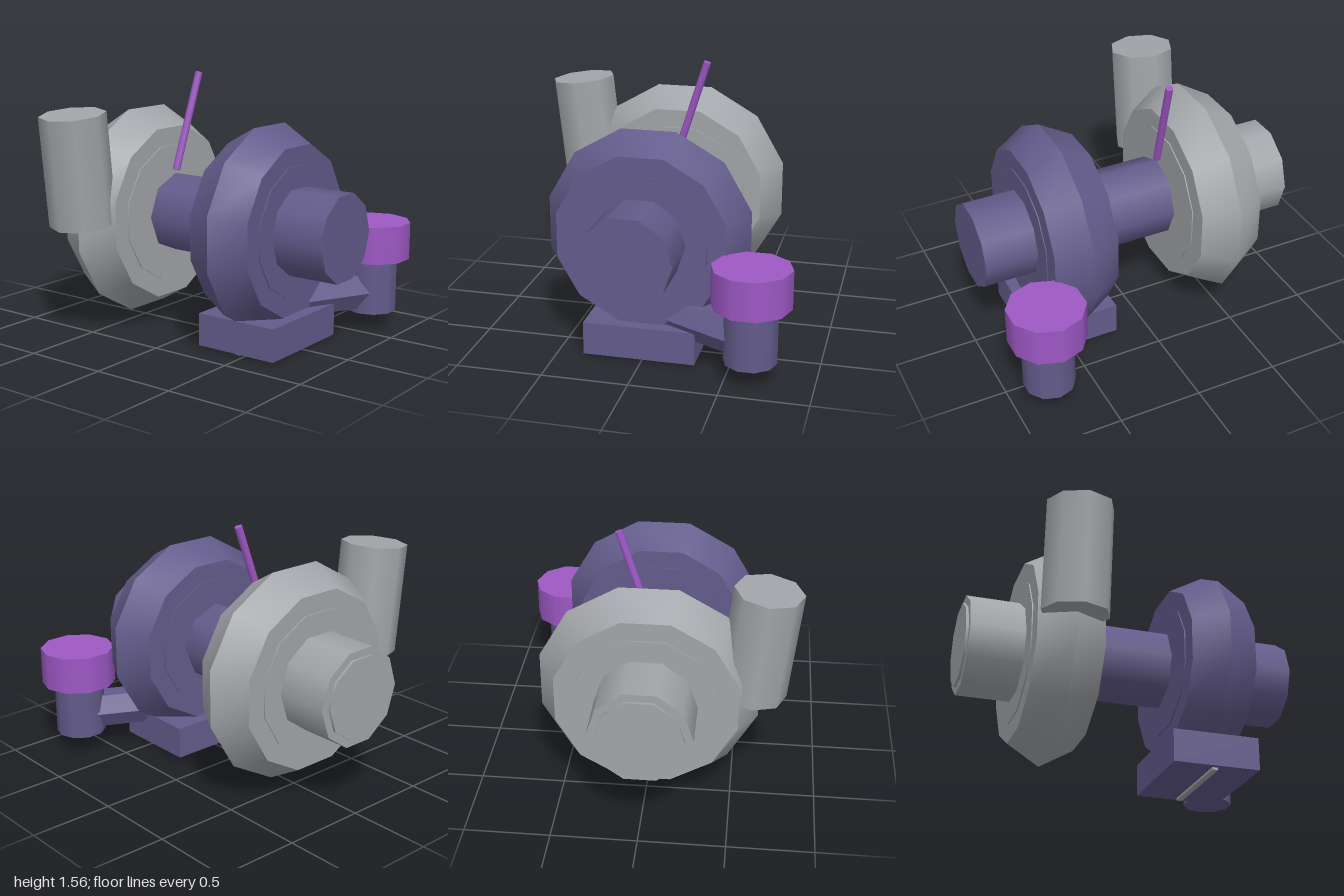
import * as THREE from 'three';
import { toCreasedNormals } from 'three/addons/utils/BufferGeometryUtils.js';

const CY = 0.705, CZ = 0.015; // shared shaft axis

function material(name, color) {
  const m = new THREE.MeshStandardMaterial({ color });
  m.name = name;
  return m;
}

export function createModel() {
  const group = new THREE.Group();
  const slate = material('slate purple', 0x635b8b);
  const grey = material('metal grey', 0xa2a5a9);
  const violet = material('bright violet', 0x9d58c4);

  function add(name, geometry, mat, x, y, z) {
    const mesh = new THREE.Mesh(geometry, mat);
    mesh.name = name;
    mesh.position.set(x, y, z);
    group.add(mesh);
    return mesh;
  }

  // Cylinder lying along the shaft between two x positions
  function shaftCylinder(name, mat, x0, x1, r, sides) {
    const g = new THREE.CylinderGeometry(r, r, x1 - x0, sides).rotateZ(-Math.PI / 2);
    return add(name, g, mat, (x0 + x1) / 2, CY, CZ);
  }

  // Twelve-sided housing with a ridged rim and a thin raised disc on both sides
  function housing(name, mat, x, peak, rim, disc) {
    const k = 1 / Math.cos(Math.PI / 12); // flat radius to corner radius
    const half = [[0, 0.203], [disc, 0.203], [disc, 0.196], [rim, 0.196]];
    const profile = [
      ...half.map(([r, h]) => new THREE.Vector2(r * k, -h)),
      new THREE.Vector2(peak * k, 0),
      ...half.slice().reverse().map(([r, h]) => new THREE.Vector2(r * k, h)),
    ];
    const g = new THREE.LatheGeometry(profile, 12).rotateY(Math.PI / 12).rotateZ(-Math.PI / 2);
    return add(name, toCreasedNormals(g, Math.PI / 4), mat, x, CY, CZ);
  }

  // Cylinder between two points
  function rod(name, mat, a, b, r, sides) {
    const p = new THREE.Vector3(...a), q = new THREE.Vector3(...b);
    const dir = q.clone().sub(p);
    const mesh = add(name, new THREE.CylinderGeometry(r, r, dir.length(), sides), mat,
      ...p.clone().add(q).multiplyScalar(0.5).toArray());
    mesh.quaternion.setFromUnitVectors(new THREE.Vector3(0, 1, 0), dir.normalize());
    return mesh;
  }

  // Exhaust side
  housing('turbineHousing', grey, -0.462, 0.63, 0.52, 0.41);
  shaftCylinder('turbineOutlet', grey, -0.985, -0.6, 0.293, 10);
  shaftCylinder('turbineOutletLip', grey, -1, -0.95, 0.246, 10);
  rod('turbineInletPipe', grey, [-0.462, 0.702, 0.605], [-0.462, 1.357, 0.675], 0.197, 8);

  // Bearing section and oil line
  shaftCylinder('centreHousing', slate, -0.235, 0.225, 0.24, 8);
  rod('oilLine', violet, [-0.234, 0.965, 0.01], [-0.204, 1.55, -0.18], 0.023, 8);

  // Intake side
  housing('compressorHousing', slate, 0.455, 0.592, 0.488, 0.379);
  shaftCylinder('compressorInlet', slate, 0.6, 0.975, 0.26, 10);

  // Foot with a narrow rail underneath
  add('foot', new THREE.BoxGeometry(0.52, 0.195, 0.65), slate, 0.455, 0.1125, 0.015);
  add('footRail', new THREE.BoxGeometry(0.035, 0.03, 0.59), grey, 0.453, 0.015, 0.015);

  // Actuator can, cap and six-sided bracket
  add('actuatorBody', new THREE.CylinderGeometry(0.152, 0.152, 0.345, 10), slate, 0.78, 0.2875, -0.638);
  add('actuatorCap', new THREE.CylinderGeometry(0.226, 0.226, 0.225, 10), violet, 0.78, 0.5575, -0.639);
  const bracket = new THREE.CylinderGeometry(0.118, 0.118, 0.68, 6)
    .rotateY(Math.PI / 2).rotateX(Math.PI / 2).rotateY(Math.atan2(-0.325, 0.64));
  add('actuatorBracket', toCreasedNormals(bracket, Math.PI / 6), slate, 0.62, 0.247, -0.325);

  return group;
}
